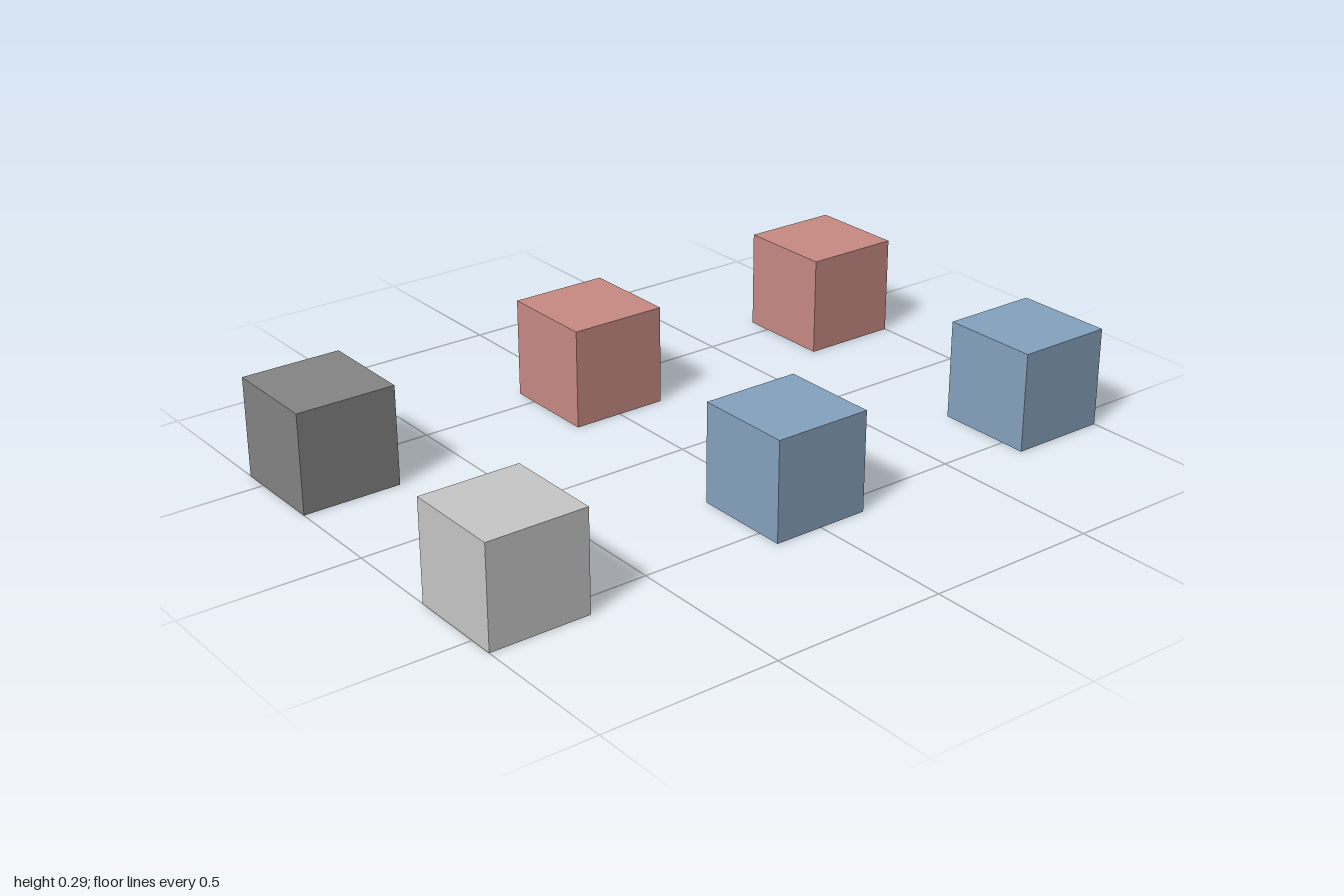
import * as THREE from 'three';

export function createModel() {
  const model = new THREE.Group();
  model.name = 'cubeGrid';

  const paint = (name, color) => {
    const material = new THREE.MeshStandardMaterial({ color });
    material.name = name;
    return material;
  };
  const red = paint('dusty red', 0xc98b84);
  const blue = paint('steel blue', 0x86a3bf);
  const darkGrey = paint('dark grey', 0x858585);
  const lightGrey = paint('light grey', 0xc8c8c8);

  const size = 2 / 7;
  const cube = new THREE.BoxGeometry(size, size, size);

  // Three rows from back to front, each with a right (-x) and a left (+x) cube
  const rows = [
    ['back', -3 * size, red, blue],
    ['middle', 0, red, blue],
    ['front', 3 * size, darkGrey, lightGrey],
  ];
  for (const [row, z, rightPaint, leftPaint] of rows) {
    for (const [side, sign, material] of [['Right', -1, rightPaint], ['Left', 1, leftPaint]]) {
      const mesh = new THREE.Mesh(cube, material);
      mesh.name = `${row}${side}Cube`;
      mesh.position.set(sign * 1.5 * size, size / 2, z);
      model.add(mesh);
    }
  }
  return model;
}
